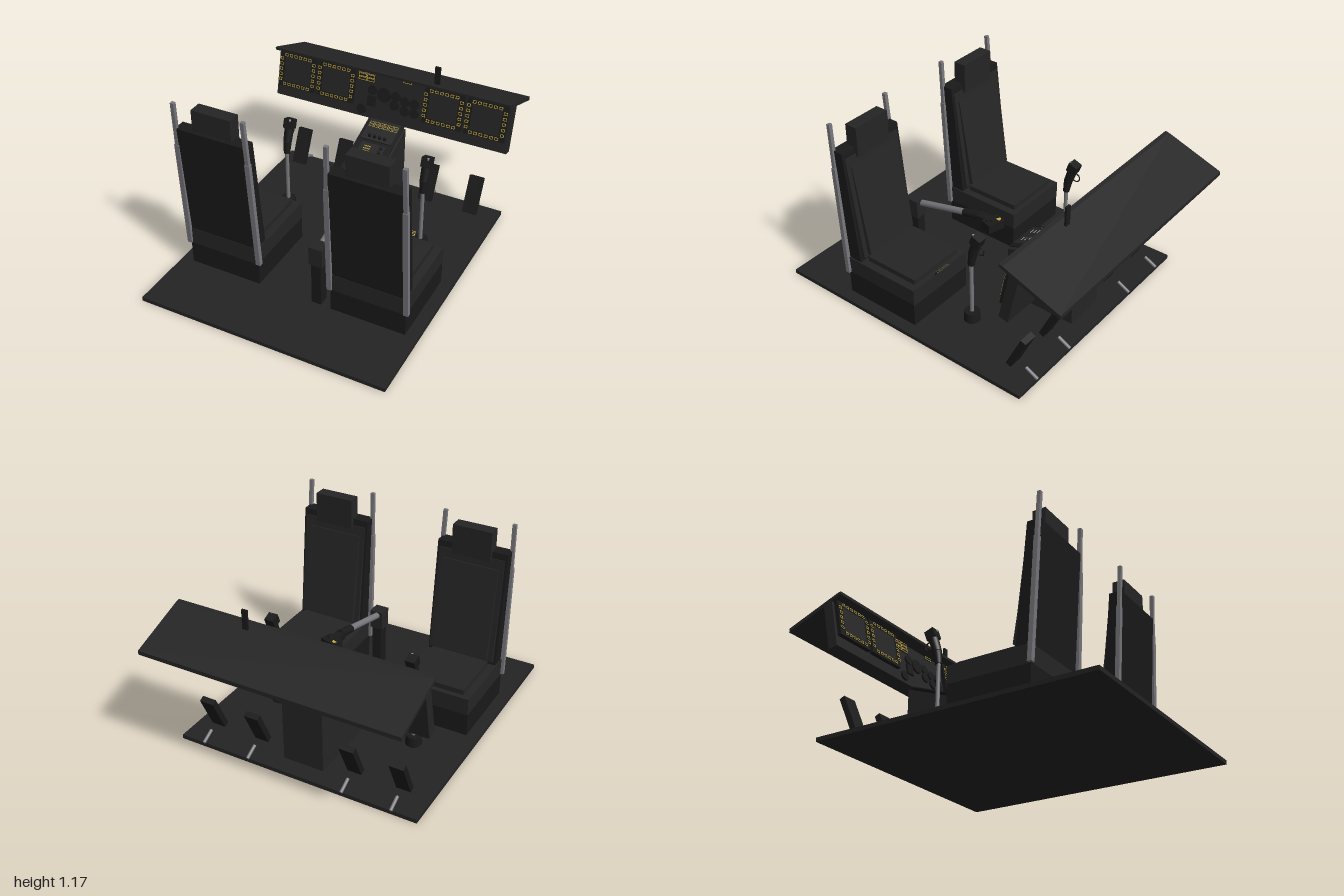
import * as THREE from 'three';
import { mergeGeometries } from 'three/addons/utils/BufferGeometryUtils.js';

const mat = (name, color, side = THREE.FrontSide) => {
  const m = new THREE.MeshStandardMaterial({ color, side });
  m.name = name;
  return m;
};
const V = (x, y, z) => new THREE.Vector3(x, y, z);

export function createModel() {
  const floorMat = mat('floor charcoal', 0x232323);
  const shell = mat('shell charcoal', 0x252525);
  const black = mat('matte black', 0x1a1a1a);
  const metal = mat('grey metal', 0x77777c);
  const yellow = mat('yellow marking', 0xc8aa3c, THREE.DoubleSide);
  const pale = mat('pale marking', 0xa0a0a0);

  const root = new THREE.Group();
  root.name = 'cockpit';

  const group = (name, parent = root) => {
    const g = new THREE.Group();
    g.name = name;
    parent.add(g);
    return g;
  };
  const add = (parent, name, geo, m, x = 0, y = 0, z = 0) => {
    const o = new THREE.Mesh(geo, m);
    o.name = name;
    o.position.set(x, y, z);
    parent.add(o);
    return o;
  };
  const box = (parent, name, m, w, h, d, x, y, z) =>
    add(parent, name, new THREE.BoxGeometry(w, h, d), m, x, y, z);
  // Side profile of [z, y] points, extruded across x and centred
  const prism = (parent, name, m, pts, w, x = 0) => {
    const s = new THREE.Shape(pts.map(p => new THREE.Vector2(p[0], p[1])));
    const g = new THREE.ExtrudeGeometry(s, { depth: w, bevelEnabled: false });
    g.rotateY(-Math.PI / 2).translate(w / 2, 0, 0);
    return add(parent, name, g, m, x);
  };
  const span = (o, a, b) => {
    o.position.copy(a).add(b).multiplyScalar(0.5);
    o.quaternion.setFromUnitVectors(V(0, 1, 0), b.clone().sub(a).normalize());
    return o;
  };
  const rod = (parent, name, m, a, b, r0, r1 = r0) =>
    span(add(parent, name, new THREE.CylinderGeometry(r1, r0, a.distanceTo(b), 20), m), a, b);
  const beam = (parent, name, m, a, b, w, d) =>
    span(box(parent, name, m, w, a.distanceTo(b), d, 0, 0, 0), a, b);
  // Flat rectangular outline facing +z
  const outline = (x, y, z, w, h, t = 0.004) => {
    const rect = (C, a, b) => new C([[-a, -b], [a, -b], [a, b], [-a, b]].map(p => new THREE.Vector2(...p)));
    const s = rect(THREE.Shape, w / 2, h / 2);
    s.holes.push(rect(THREE.Path, w / 2 - t, h / 2 - t));
    return new THREE.ShapeGeometry(s).translate(x, y, z);
  };

  // Floor
  box(root, 'floor', floorMat, 1.55, 0.025, 1.74, 0, 0.0125, 0.13);

  // Seats, each with a pan, backrest, headrest and two rails
  for (const cx of [-0.467, 0.467]) {
    const seat = group('seat');
    seat.position.x = cx;
    box(seat, 'seatBase', black, 0.465, 0.15, 0.51, 0, 0.1, 0.33);
    box(seat, 'seatPan', shell, 0.465, 0.11, 0.515, 0, 0.225, 0.33);
    box(seat, 'seatCushion', shell, 0.37, 0.035, 0.36, 0, 0.295, 0.285);
    prism(seat, 'seatBack', black, [[0.49, 0.28], [0.585, 0.28], [0.645, 1], [0.565, 1]], 0.45);
    prism(seat, 'backCushion', shell, [[0.445, 0.33], [0.51, 0.31], [0.575, 0.9], [0.54, 0.9]], 0.36);
    prism(seat, 'backFrame', shell, [[0.47, 0.31], [0.51, 0.3], [0.58, 0.96], [0.555, 0.96]], 0.42);
    box(seat, 'headrest', shell, 0.25, 0.19, 0.08, 0, 1.035, 0.58);
    for (const s of [-1, 1]) {
      beam(seat, 'railLower', metal, V(s * 0.236, 0.175, 0.585), V(s * 0.227, 0.89, 0.628), 0.03, 0.027);
      beam(seat, 'railUpper', metal, V(s * 0.227, 0.88, 0.627), V(s * 0.22, 1.165, 0.644), 0.023, 0.022);
    }
  }

  // Small tilted placard ahead of one seat
  const placard = group('placard');
  placard.position.set(0.465, 0.3, 0.06);
  placard.rotation.x = -0.85;
  box(placard, 'placardPlate', black, 0.11, 0.03, 0.006, 0, 0, 0);
  add(placard, 'placardMarking', mergeGeometries([-0.008, 0.008].map(y => outline(0, y, 0.004, 0.1, 0.012, 0.003))), yellow);

  // Cyclic sticks
  for (const x of [-0.465, 0.46]) {
    const stick = group('cyclicStick');
    stick.position.set(x, 0, -0.158);
    rod(stick, 'stickFoot', black, V(0, 0.025, 0), V(0, 0.045, 0), 0.035);
    rod(stick, 'stickBoot', black, V(0, 0.04, 0), V(0, 0.1, 0), 0.05, 0.046);
    rod(stick, 'stickTube', metal, V(0, 0.1, 0), V(0, 0.46, 0), 0.012);
    rod(stick, 'gripLower', black, V(0, 0.44, 0), V(0, 0.52, -0.012), 0.02, 0.027);
    rod(stick, 'gripUpper', black, V(0, 0.52, -0.012), V(0, 0.62, -0.045), 0.027, 0.03);
    const head = box(stick, 'gripHead', black, 0.06, 0.06, 0.06, 0, 0.63, -0.048);
    head.rotation.x = -0.35;
    const guard = add(stick, 'triggerGuard', new THREE.TorusGeometry(0.028, 0.004, 6, 16), black, 0, 0.565, -0.065);
    guard.rotation.y = Math.PI / 2;
    rod(stick, 'gripButton', pale, V(0.012, 0.655, -0.03), V(0.012, 0.668, -0.028), 0.006);
  }

  // Collective lever on its pedestal
  const lever = group('collectiveLever');
  box(lever, 'leverColumn', black, 0.06, 0.28, 0.07, 0.14, 0.165, 0.545);
  box(lever, 'leverHousing', shell, 0.085, 0.12, 0.085, 0.14, 0.36, 0.543);
  rod(lever, 'leverTube', metal, V(0.135, 0.385, 0.54), V(0.135, 0.48, 0.15), 0.02);
  rod(lever, 'leverGrip', black, V(0.135, 0.477, 0.16), V(0.135, 0.505, 0.03), 0.024, 0.027);
  box(lever, 'leverNeck', black, 0.055, 0.045, 0.08, 0.135, 0.495, 0.01);
  const leverHead = box(lever, 'leverHead', black, 0.11, 0.055, 0.075, 0.14, 0.49, -0.06);
  leverHead.rotation.y = -0.3;
  for (const [x, z] of [[0.105, -0.07], [0.155, -0.06], [0.17, -0.04]])
    rod(lever, 'leverSwitch', black, V(x, 0.51, z), V(x, 0.53, z), 0.01, 0.007);
  rod(lever, 'leverButton', yellow, V(0.11, 0.515, -0.08), V(0.11, 0.522, -0.08), 0.013);

  // Pedals with their link rods
  for (const x of [-0.62, -0.312, 0.308, 0.615]) {
    const pedal = group('pedal');
    beam(pedal, 'pedalPlate', black, V(x, 0.068, -0.575), V(x, 0.287, -0.675), 0.09, 0.036);
    rod(pedal, 'pedalLink', metal, V(x, 0.07, -0.665), V(x, 0.028, -0.745), 0.01);
  }

  // Centre console with a sloping control plate
  prism(root, 'consoleBody', shell,
    [[-0.16, 0.025], [-0.165, 0.35], [-0.63, 0.522], [-0.63, 0.025]], 0.26);
  const deck = group('consoleDeck');
  deck.position.set(0, 0.452, -0.4);
  deck.rotation.set(0.355 - Math.PI / 2, 0, 0); // local y runs up the slope, z points out
  box(deck, 'deckPlate', black, 0.25, 0.485, 0.006, 0, 0, 0.004);
  box(deck, 'upperModule', shell, 0.21, 0.165, 0.008, 0, 0.155, 0.01);
  box(deck, 'middleModule', shell, 0.165, 0.165, 0.008, 0, -0.035, 0.01);
  box(deck, 'lowerModule', shell, 0.195, 0.11, 0.008, 0, -0.18, 0.01);
  const marks = [];
  for (let i = 0; i < 6; i++)
    for (const y of [0.183, 0.206]) marks.push(outline(-0.08 + i * 0.033, y, 0.0155, 0.029, 0.019, 0.003));
  for (let i = 0; i < 5; i++) marks.push(outline(-0.03, 0.02 - i * 0.019, 0.0155, 0.045, 0.008, 0.003));
  marks.push(outline(0, -0.085, 0.0155, 0.1, 0.02, 0.003));
  add(deck, 'deckMarkings', mergeGeometries(marks), yellow);
  for (let i = 0; i < 4; i++)
    rod(deck, 'deckKnob', black, V(-0.052 + i * 0.035, 0.1, 0.012), V(-0.052 + i * 0.035, 0.1, 0.035), 0.011, 0.009);
  for (const x of [-0.045, 0.045]) {
    for (let i = 0; i < 3; i++) box(deck, 'deckLabel', pale, 0.035, 0.004, 0.003, x, -0.15 - i * 0.025, 0.015);
    rod(deck, 'deckSwitch', black, V(x * 1.5, -0.135, 0.012), V(x * 1.5, -0.14, 0.036), 0.007);
  }
  for (let i = 0; i < 3; i++)
    rod(deck, 'deckSelector', black, V(0.06, 0.025 - i * 0.035, 0.012), V(0.06, 0.025 - i * 0.035, 0.03), 0.01);

  // Instrument panel, leaning back
  const panel = group('instrumentPanel');
  panel.position.set(0, 0.695, -0.652);
  panel.rotation.x = -0.215;
  box(panel, 'panelBody', shell, 1.6, 0.31, 0.06, 0, 0, -0.03);

  // Four displays ringed with outlined keys
  const keys = [];
  for (const cx of [-0.65, -0.37, 0.37, 0.65]) {
    box(panel, 'displayBezel', black, 0.262, 0.235, 0.025, cx, 0.035, 0.0125);
    box(panel, 'displayScreen', shell, 0.19, 0.165, 0.004, cx, 0.035, 0.026);
    for (const s of [-1, 1]) {
      for (let i = -2; i <= 2; i++) keys.push([cx + s * 0.117, 0.035 + i * 0.035]);
      for (let i = -2.5; i <= 2.5; i++) keys.push([cx + i * 0.034, 0.035 + s * 0.098]);
    }
  }
  for (const [x, y] of keys) box(panel, 'displayKey', black, 0.019, 0.016, 0.008, x, y, 0.028);
  add(panel, 'keyOutlines', mergeGeometries(keys.map(([x, y]) => outline(x, y, 0.0325, 0.023, 0.02))), yellow);

  // Caution lights
  const lights = [outline(0.11, 0.142, 0.006, 0.06, 0.022)];
  for (let r = 0; r < 3; r++)
    for (const x of [-0.195, -0.138]) lights.push(outline(x, 0.142 - r * 0.023, 0.006, 0.055, 0.021));
  box(panel, 'cautionPanel', black, 0.12, 0.075, 0.004, -0.167, 0.117, 0.002);
  box(panel, 'warningPanel', black, 0.065, 0.026, 0.004, 0.11, 0.142, 0.002);
  add(panel, 'cautionOutlines', mergeGeometries(lights), yellow);

  // Round gauges [x, y, radius]
  for (const [x, y, r] of [[-0.116, 0.035, 0.032], [-0.034, 0.02, 0.048], [0.047, 0.03, 0.032], [0.111, 0.01, 0.032],
    [0.176, 0.01, 0.032], [0.043, -0.03, 0.032], [0.115, -0.05, 0.032], [0.18, -0.05, 0.032], [-0.18, -0.105, 0.032]])
    rod(panel, 'gauge', black, V(x, y, 0), V(x, y, 0.012), r);
  box(panel, 'clockBox', black, 0.058, 0.068, 0.012, -0.116, -0.038, 0.006);

  // Sloping glareshield and the post on it
  prism(root, 'glareshield', shell,
    [[-0.62, 0.868], [-0.62, 0.885], [-0.645, 0.88], [-1, 0.75], [-1, 0.725], [-0.74, 0.82]], 1.6);
  box(root, 'glareshieldPost', black, 0.035, 0.12, 0.013, 0.305, 0.925, -0.685);

  return root;
}
